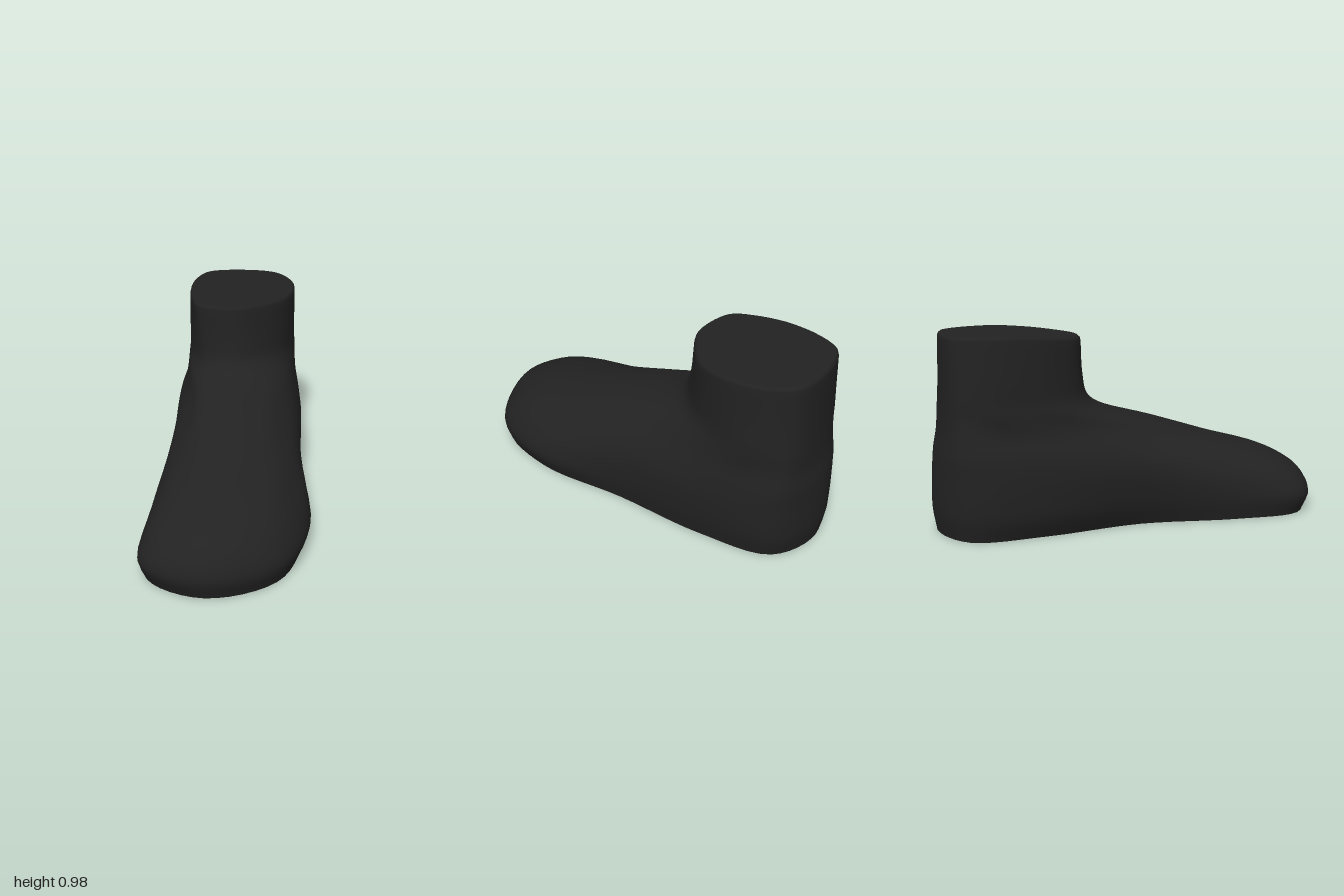
import * as THREE from 'three';

// Each row: height, back z, front z, front x, five right-hand x values, five left-hand x values (heel to toe)
const ROWS = [
  [0, -0.985, 0.975, -0.09, -0.23, -0.27, -0.25, -0.35, -0.36, 0.27, 0.34, 0.34, 0.365, 0.24],
  [0.1, -1, 1, -0.1, -0.25, -0.31, -0.29, -0.375, -0.385, 0.29, 0.36, 0.36, 0.4, 0.25],
  [0.2, -1, 0.955, -0.09, -0.255, -0.32, -0.31, -0.365, -0.34, 0.295, 0.37, 0.365, 0.375, 0.22],
  [0.3, -0.995, 0.8, -0.05, -0.25, -0.32, -0.315, -0.32, -0.26, 0.29, 0.37, 0.36, 0.32, 0.2],
  [0.4, -0.985, 0.48, -0.02, -0.24, -0.305, -0.3, -0.26, -0.18, 0.28, 0.355, 0.345, 0.28, 0.17],
  [0.5, -0.965, 0.17, 0, -0.22, -0.27, -0.27, -0.22, -0.15, 0.26, 0.335, 0.325, 0.25, 0.15],
  [0.6, -0.955, -0.15, 0, -0.19, -0.26, -0.265, -0.24, -0.15, 0.24, 0.325, 0.325, 0.26, 0.14],
  [0.66, -0.95, -0.22, 0, -0.19, -0.255, -0.26, -0.235, -0.16, 0.23, 0.32, 0.325, 0.26, 0.13],
  [0.76, -0.945, -0.245, 0, -0.185, -0.25, -0.26, -0.235, -0.17, 0.22, 0.31, 0.325, 0.265, 0.13],
  [0.955, -0.94, -0.26, 0, -0.17, -0.235, -0.255, -0.24, -0.19, 0.21, 0.3, 0.325, 0.275, 0.13],
];
const STATIONS = [0.06, 0.25, 0.5, 0.75, 0.93];
const AROUND = 72;
const STEPS = 45;

// Control points of one horizontal outline: heel, right side, toe, left side
function outline([y, back, front, frontX, ...sides]) {
  const z = STATIONS.map((t) => back + (front - back) * t);
  const right = z.map((d, i) => new THREE.Vector3(sides[i], y, d));
  const left = z.map((d, i) => new THREE.Vector3(sides[5 + i], y, d)).reverse();
  return [new THREE.Vector3(0.02, y, back), ...right, new THREE.Vector3(frontX, y, front), ...left];
}

function smoothRing(points) {
  return new THREE.CatmullRomCurve3(points, true).getPoints(AROUND).slice(0, AROUND);
}

function buildRings() {
  const outlines = ROWS.map(outline);
  const columns = outlines[0].map((_, i) => new THREE.CatmullRomCurve3(outlines.map((o) => o[i])));
  const rings = [];
  for (let s = 0; s <= STEPS; s++) rings.push(smoothRing(columns.map((c) => c.getPoint(s / STEPS))));
  // Rounded rim at the ankle opening
  const top = rings[STEPS];
  for (const [rise, scale] of [[0.012, 0.99], [0.02, 0.965]]) {
    rings.push(top.map((p) => new THREE.Vector3(
      0.03 + (p.x - 0.03) * scale, p.y + rise, -0.6 + (p.z + 0.6) * scale)));
  }
  // The rim dips slightly towards the front
  for (const p of rings.slice(-10).flat()) {
    p.y -= 0.022 * Math.max(0, p.z + 0.6) / 0.35 * THREE.MathUtils.smoothstep(p.y, 0.75, 0.955);
  }
  return rings;
}

function toGeometry(points, index) {
  const geometry = new THREE.BufferGeometry().setFromPoints(points);
  geometry.setIndex(index);
  geometry.computeVertexNormals();
  return geometry;
}

function skin(rings) {
  const index = [];
  for (let r = 0; r < rings.length - 1; r++) {
    for (let i = 0; i < AROUND; i++) {
      const a = r * AROUND + i;
      const b = r * AROUND + (i + 1) % AROUND;
      index.push(a, b, a + AROUND, b, b + AROUND, a + AROUND);
    }
  }
  return toGeometry(rings.flat(), index);
}

function cap(ring, centre, facesUp) {
  const index = [];
  for (let i = 0; i < AROUND; i++) {
    const j = (i + 1) % AROUND;
    index.push(AROUND, facesUp ? i : j, facesUp ? j : i);
  }
  return toGeometry([...ring, centre], index);
}

export function createModel() {
  const group = new THREE.Group();
  group.name = 'foot';
  const material = new THREE.MeshStandardMaterial({ color: 0x222222 });
  const rings = buildRings();
  const parts = {
    footAndAnkle: skin(rings),
    ankleTop: cap(rings[rings.length - 1], new THREE.Vector3(0.03, 0.971, -0.6), true),
    sole: cap(rings[0], new THREE.Vector3(0.03, 0, 0), false),
  };
  for (const [name, geometry] of Object.entries(parts)) {
    const mesh = new THREE.Mesh(geometry, material);
    mesh.name = name;
    group.add(mesh);
  }
  return group;
}
